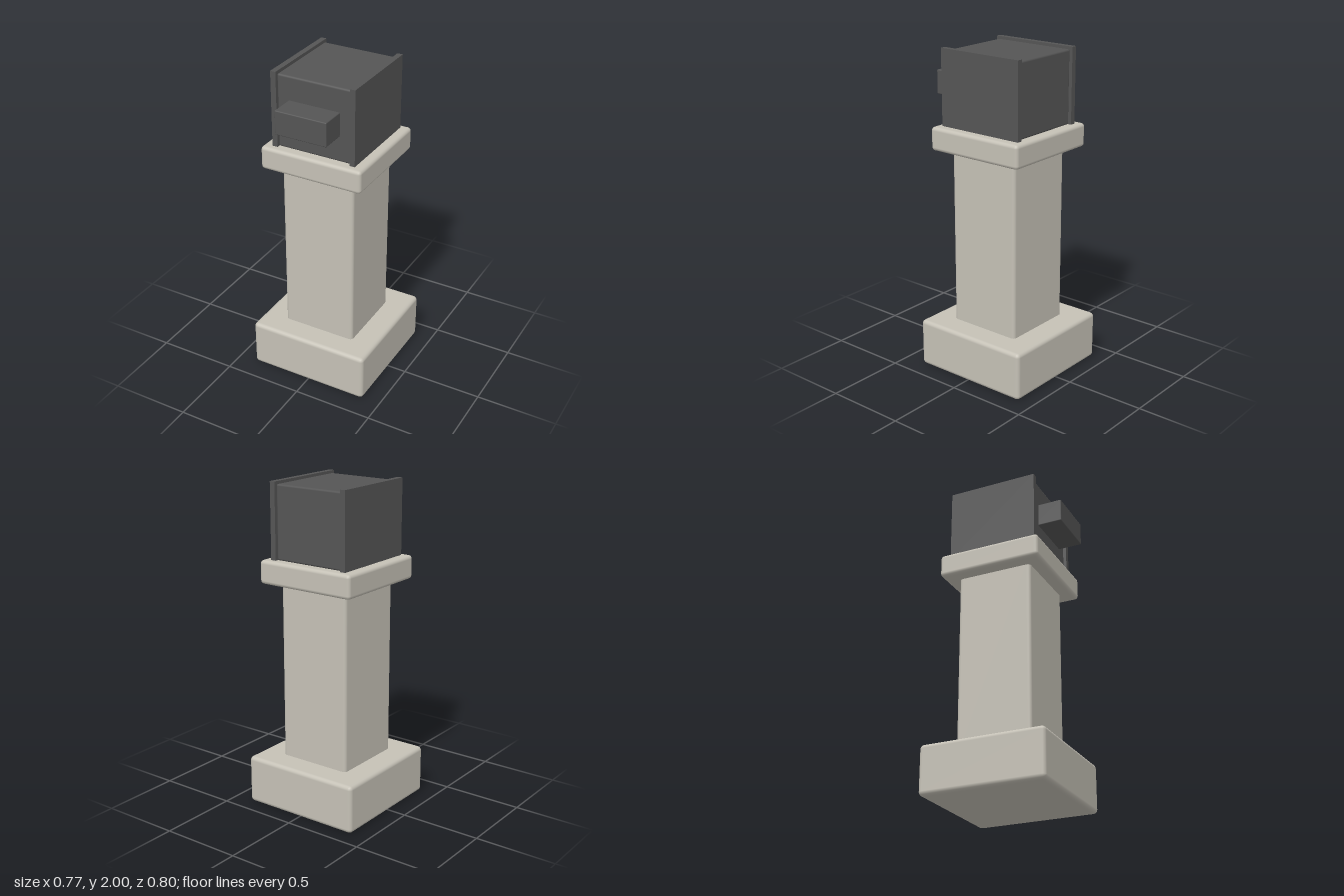
import * as THREE from 'three';
import { RoundedBoxGeometry } from 'three/addons/geometries/RoundedBoxGeometry.js';

export function createModel() {
  const model = new THREE.Group();
  model.name = 'pedestalMailbox';

  const stone = new THREE.MeshStandardMaterial({ color: 0xc5c1b6 });
  stone.name = 'stone';
  const darkMetal = new THREE.MeshStandardMaterial({ color: 0x555555 });
  darkMetal.name = 'darkMetal';

  // Block from its extents; bevel 0 gives sharp edges
  function block(name, material, [x0, x1], [y0, y1], [z0, z1], bevel) {
    const size = [x1 - x0, y1 - y0, z1 - z0];
    const geometry = bevel
      ? new RoundedBoxGeometry(...size, 2, bevel)
      : new THREE.BoxGeometry(...size);
    const mesh = new THREE.Mesh(geometry, material);
    mesh.name = name;
    mesh.position.set((x0 + x1) / 2, (y0 + y1) / 2, (z0 + z1) / 2);
    model.add(mesh);
  }

  // Stone pedestal: plinth, shaft and cap slab
  block('base', stone, [-0.387, 0.387], [0, 0.3], [-0.404, 0.37], 0.025);
  block('column', stone, [-0.235, 0.235], [0.26, 1.43], [-0.25, 0.222], 0.022);
  block('cap', stone, [-0.325, 0.325], [1.394, 1.538], [-0.34, 0.31], 0.022);

  // Metal box with a projecting front block
  block('boxBody', darkMetal, [-0.235, 0.235], [1.537, 1.985], [-0.283, 0.25], 0.012);
  block('frontBlock', darkMetal, [-0.163, 0.163], [1.692, 1.839], [0.2, 0.4], 0.006);

  // Side plates stand proud of the box on every edge
  for (const [name, side] of [['leftPlate', 1], ['rightPlate', -1]]) {
    const xs = [0.233 * side, 0.267 * side].sort((a, b) => a - b);
    block(name, darkMetal, xs, [1.53, 2], [-0.3, 0.267], 0);
  }

  return model;
}
